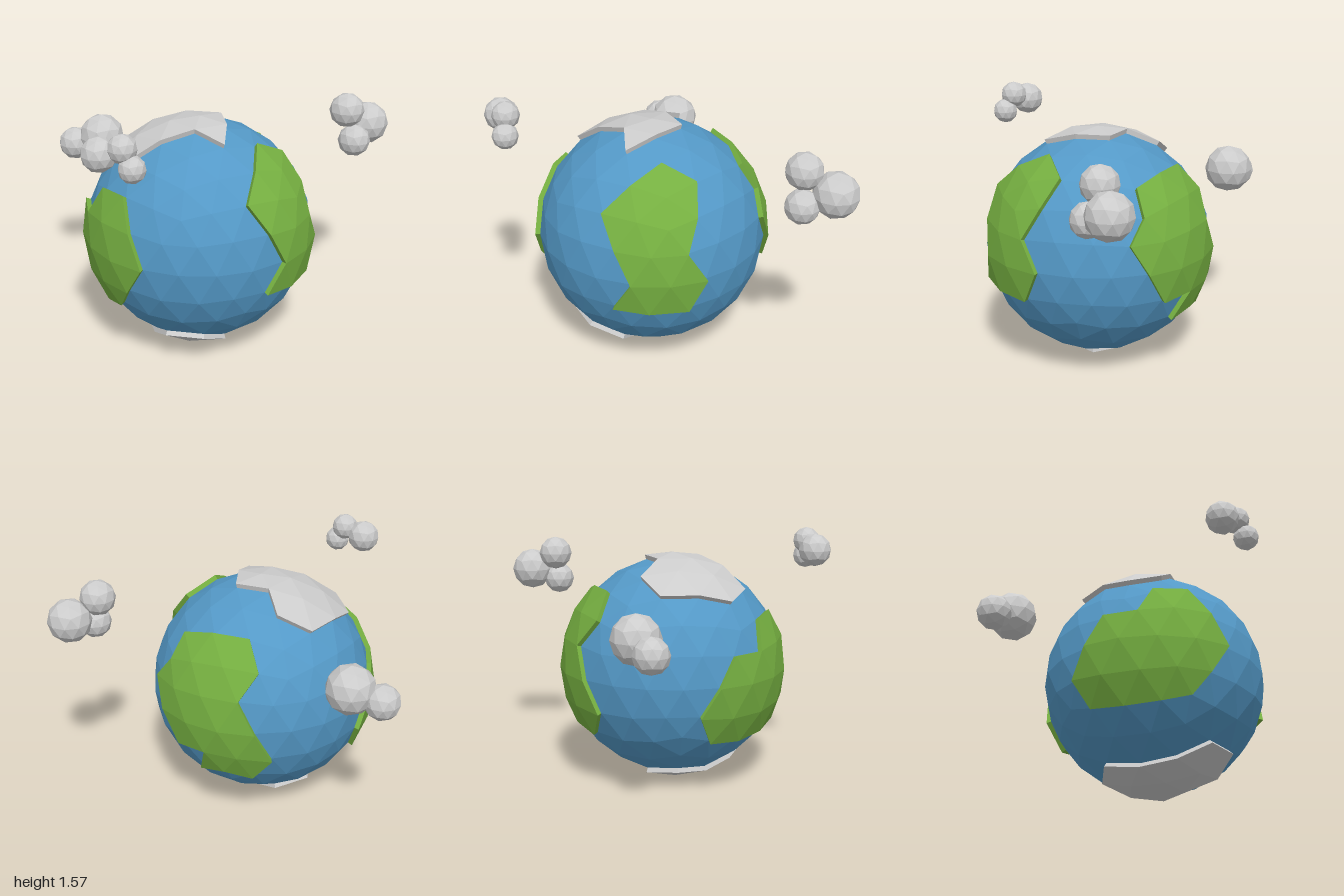
import * as THREE from 'three';

const CENTER = [0.14, 0.71, 0.03];
const SEA = 0.68, LAND = 0.71;

// Faceted ball with a vertex at the top
function ball(radius, detail) {
  const g = new THREE.IcosahedronGeometry(radius, detail);
  return g.rotateZ(-Math.atan(2 / (1 + Math.sqrt(5))));
}

const paint = (color) => new THREE.MeshStandardMaterial({ color, flatShading: true });

function inside(x, y, outline) {
  let hit = false;
  outline.forEach(([ax, ay], i) => {
    const [bx, by] = outline[(i + 1) % outline.length];
    if ((ay > y) !== (by > y) && x < ax + ((y - ay) / (by - ay)) * (bx - ax)) hit = !hit;
  });
  return hit;
}

// Raised plate: the sphere facets within an outline seen along right x up, plus rim walls
function plate(right, up, outline) {
  const r = new THREE.Vector3(...right), u = new THREE.Vector3(...up);
  const axis = r.clone().cross(u);
  const src = ball(LAND, 3).attributes.position;
  const key = (v) => v.toArray().map((n) => Math.round(n * 1000)).join();
  const positions = [], edges = new Map();
  const add = (...vs) => vs.forEach((v) => positions.push(v.x, v.y, v.z));

  for (let i = 0; i < src.count; i += 3) {
    const t = [0, 1, 2].map((k) => new THREE.Vector3().fromBufferAttribute(src, i + k));
    const mid = t[0].clone().add(t[1]).add(t[2]).divideScalar(3);
    if (mid.dot(axis) < 0 || !inside(mid.dot(r), mid.dot(u), outline)) continue;
    add(...t);
    t.forEach((a, k) => {
      const b = t[(k + 1) % 3];
      edges.set(key(a) + '|' + key(b), [a, b]);
    });
  }
  for (const [a, b] of edges.values()) {
    if (edges.has(key(b) + '|' + key(a))) continue;
    const a0 = a.clone().setLength(SEA * 0.99), b0 = b.clone().setLength(SEA * 0.99);
    add(a, a0, b, b, a0, b0);
  }
  const g = new THREE.BufferGeometry();
  g.setAttribute('position', new THREE.Float32BufferAttribute(positions, 3));
  g.computeVertexNormals();
  return g;
}

const GREEN = 0x76b041, GREY = 0xcccccc;
const PLATES = [
  { name: 'frontContinent', color: GREEN, right: [1, 0, 0], up: [0, 1, 0],
    outline: [[-0.18, 0.37], [-0.375, 0.354], [-0.49, 0.17], [-0.61, 0.17], [-0.675, 0], [-0.67, -0.18],
      [-0.6, -0.35], [-0.49, -0.37], [-0.34, -0.36], [-0.18, -0.315], [0.005, 0]] },
  { name: 'leftContinent', color: GREEN, right: [0, 0, -1], up: [0, 1, 0],
    outline: [[-0.355, 0.37], [-0.18, 0.52], [0, 0.605], [0.185, 0.52], [0.17, 0.354], [0.105, 0.17],
      [0.217, 0], [0.115, -0.2], [-0.125, -0.2], [-0.32, -0.18], [-0.22, 0], [-0.29, 0.17]] },
  { name: 'backContinent', color: GREEN, right: [-0.819, 0, 0.574], up: [0.2426, 0.906, 0.346],
    outline: [[-0.43, 0.29], [-0.03, 0.27], [0.015, 0.06], [-0.098, -0.113], [0.098, -0.474], [0, -0.586],
      [-0.248, -0.534], [-0.504, -0.353], [-0.575, -0.175], [-0.61, 0.01], [-0.52, 0.136]] },
  { name: 'northIceCap', color: GREY, right: [1, 0, 0], up: [0, 0, -1],
    outline: [[-0.48, 0.12], [-0.3, 0.22], [-0.14, 0.11], [0.06, 0.17], [0.18, 0], [0.25, -0.18],
      [0.06, -0.17], [-0.09, -0.29], [-0.25, -0.41], [-0.43, -0.31], [-0.47, -0.1]] },
  { name: 'southIceCap', color: GREY, right: [1, 0, 0], up: [0, 0, 1],
    outline: [[-0.373, 0], [-0.256, 0.186], [-0.115, 0.355], [0.037, 0.488], [0.257, 0.417],
      [0.302, 0.219], [0.144, 0.105], [0.144, -0.105], [-0.055, -0.169], [-0.256, -0.186]] },
];

// Cloud puffs: x, y, z, radius
const CLOUDS = {
  frontCloud: [[-0.01, 1.44, 0.89, 0.1], [0.12, 1.485, 0.865, 0.082], [0.185, 1.385, 0.875, 0.077]],
  backCloud: [[0.785, 1.34, -0.705, 0.108], [0.865, 1.225, -0.865, 0.133], [0.85, 1.16, -0.685, 0.1]],
  rightCloud: [[-0.73, 1.052, -0.25, 0.148], [-0.895, 0.998, -0.18, 0.107]],
};

export function createModel() {
  const model = new THREE.Group();
  model.name = 'planetWithClouds';

  // Planet with its raised land and ice
  const planet = new THREE.Group();
  planet.name = 'planet';
  planet.position.set(...CENTER);
  model.add(planet);
  const ocean = new THREE.Mesh(ball(SEA, 3), paint(0x5499c7));
  ocean.name = 'ocean';
  planet.add(ocean);
  for (const p of PLATES) {
    const mesh = new THREE.Mesh(plate(p.right, p.up, p.outline), paint(p.color));
    mesh.name = p.name;
    planet.add(mesh);
  }

  // Floating clouds
  for (const [name, puffs] of Object.entries(CLOUDS)) {
    const cloud = new THREE.Group();
    cloud.name = name;
    for (const [x, y, z, radius] of puffs) {
      const puff = new THREE.Mesh(ball(radius, 1), paint(GREY));
      puff.name = 'puff';
      puff.position.set(x, y, z);
      cloud.add(puff);
    }
    model.add(cloud);
  }
  return model;
}
